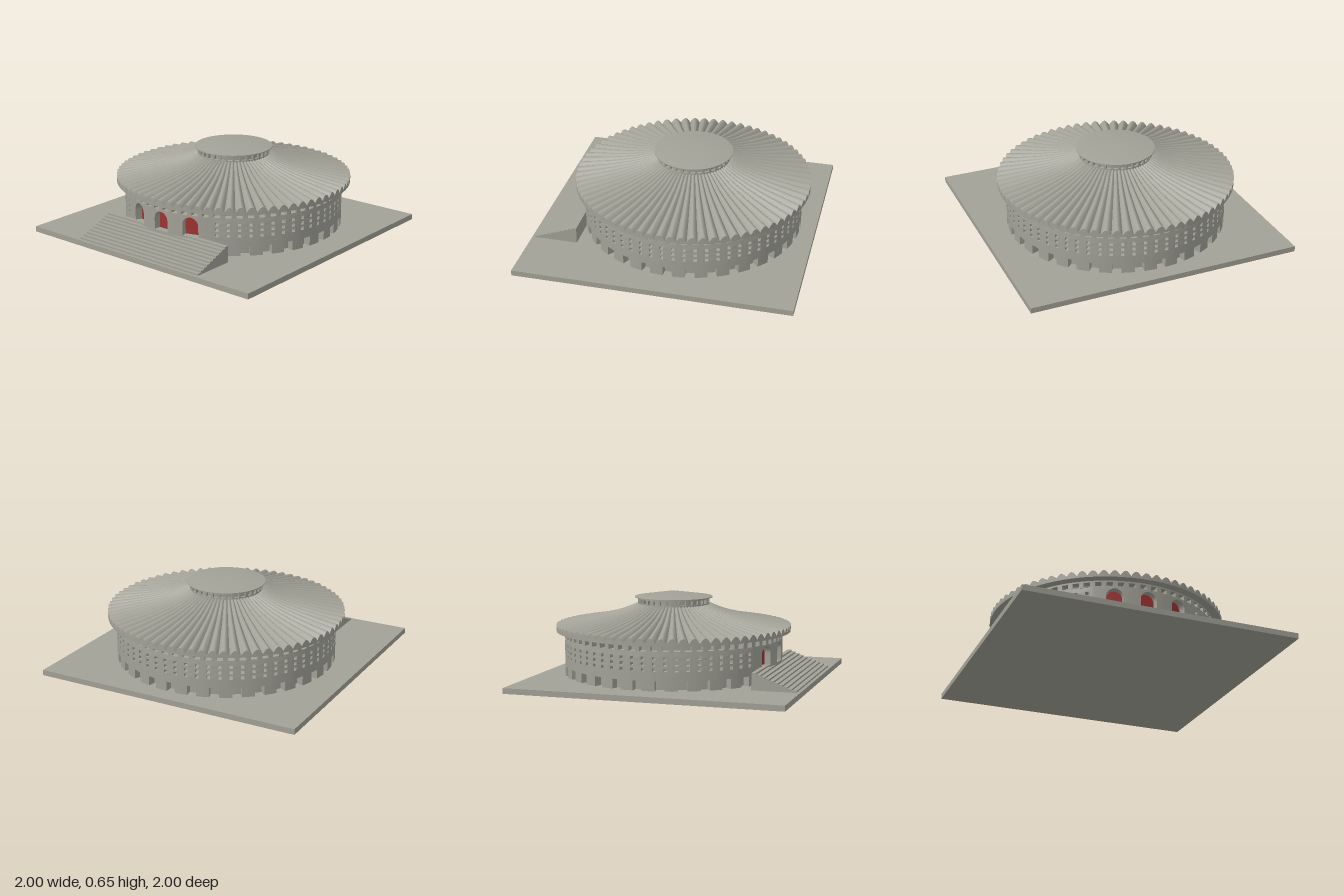
import * as THREE from 'three';
import { mergeGeometries, toCreasedNormals } from 'three/addons/utils/BufferGeometryUtils.js';

const stone = new THREE.MeshStandardMaterial({ color: 0xa1a197 });
stone.name = 'stone';
const red = new THREE.MeshStandardMaterial({ color: 0xa03232 });
red.name = 'door red';

const R = 0.805, WALL = 0.055, BASE = 0.04;
const BAY = Math.PI / 16;

// Rectangular hole centred on (x, y)
function rect(x, y, w, h) {
  return new THREE.Path([[-1, -1], [1, -1], [1, 1], [-1, 1]]
    .map(([i, j]) => new THREE.Vector2(x + i * w / 2, y + j * h / 2)));
}

// Round-headed opening, from y0 up to y1
function arch(Type, x, y0, y1, w) {
  const r = w / 2, p = new Type();
  p.moveTo(x - r, y0);
  p.lineTo(x + r, y0);
  p.lineTo(x + r, y1 - r);
  p.absarc(x, y1 - r, r, 0, Math.PI, false);
  p.closePath();
  return p;
}

// Extrudes a shape drawn on the unrolled wall and wraps it around the y axis
function wrap(shape, radius, depth, angle) {
  const g = new THREE.ExtrudeGeometry(shape, { depth, bevelEnabled: false, curveSegments: 8 });
  const p = g.attributes.position;
  for (let i = 0; i < p.count; i++) {
    const a = angle + p.getX(i) / radius, r = radius - depth + p.getZ(i);
    p.setXYZ(i, r * Math.sin(a), p.getY(i), r * Math.cos(a));
  }
  return g;
}

// Wall panel centred on an angle, with optional holes and a notch at its foot
function panel(radius, depth, angle, span, y0, y1, holes = [], notch = null) {
  const half = radius * span / 2, n = 4, pts = [];
  for (let i = 0; i <= n; i++) {
    pts.push(new THREE.Vector2(-half + 2 * half * i / n, y0));
    if (notch && i === 1) {
      const w = notch[0] / 2, h = y0 + notch[1];
      for (const [x, y] of [[-w, y0], [-w, h], [0, h], [w, h], [w, y0]]) pts.push(new THREE.Vector2(x, y));
      i = 2;
    }
  }
  for (let i = n; i >= 0; i--) pts.push(new THREE.Vector2(-half + 2 * half * i / n, y1));
  const shape = new THREE.Shape(pts);
  shape.holes.push(...holes);
  return wrap(shape, radius, depth, angle);
}

function lathe(points, segments) {
  return new THREE.LatheGeometry(points.map(([x, y]) => new THREE.Vector2(x, y)), segments);
}

export function createModel() {
  const model = new THREE.Group();
  const hall = new THREE.Group();
  hall.name = 'hall';
  hall.position.z = -0.08;
  model.add(hall);

  function add(parent, name, geometry, material = stone) {
    const mesh = new THREE.Mesh(geometry, material);
    mesh.name = name;
    parent.add(mesh);
    return mesh;
  }
  const smooth = (list) => toCreasedNormals(mergeGeometries(list), 0.6);

  // Ground slab
  add(model, 'groundSlab', new THREE.BoxGeometry(2, BASE, 2)).position.y = BASE / 2;

  // Front stairs, as one stepped block
  const steps = 10, z0 = 0.66, run = 0.0315, top = 0.16, rise = (top - BASE) / steps;
  const profile = new THREE.Shape();
  profile.moveTo(-z0, BASE);
  profile.lineTo(-z0, top);
  for (let i = 0; i < steps; i++) {
    profile.lineTo(-z0 - run * (i + 1), top - rise * i);
    profile.lineTo(-z0 - run * (i + 1), top - rise * (i + 1));
  }
  const stairs = new THREE.ExtrudeGeometry(profile, { depth: 1.11, bevelEnabled: false });
  stairs.translate(0, 0, -0.555).rotateY(Math.PI / 2);
  add(model, 'frontStairs', stairs);

  // Windowed bays with openings at the foot, all around except the front
  const bays = [];
  for (let k = 3; k <= 29; k++) {
    const holes = [];
    for (const s of [-1, 1])
      for (const y of [0.186, 0.226, 0.266]) holes.push(rect(s * R * BAY / 4, y, 0.024, 0.023));
    bays.push(panel(R, WALL, k * BAY, BAY, BASE, 0.31, holes, [0.066, 0.07]));
  }
  add(hall, 'windowWall', smooth(bays));

  // Plain front wall with three arched doorways
  const side = Math.asin(0.24 / R), edge = 2.5 * BAY, front = [], doors = [];
  for (const a of [-side, 0, side]) {
    front.push(panel(R, WALL, a, BAY, BASE, 0.31, [arch(THREE.Path, 0, 0.16, 0.3, 0.12)]));
    doors.push(wrap(arch(THREE.Shape, 0, 0.155, 0.304, 0.128), R - WALL + 0.006, 0.008, a));
  }
  for (const s of [-1, 1])
    for (const [a, b] of [[BAY / 2, side - BAY / 2], [side + BAY / 2, edge]])
      front.push(panel(R, WALL, s * (a + b) / 2, b - a, BASE, 0.31));
  add(hall, 'frontWall', smooth(front));
  add(hall, 'archedDoors', smooth(doors), red);

  // Row of openings under the eaves
  const frieze = [];
  for (let k = 0; k < 64; k++)
    frieze.push(panel(R, WALL, (k + 0.5) * BAY / 2, BAY / 2, 0.31, 0.362, [rect(0, 0.331, 0.046, 0.034)]));
  add(hall, 'eavesFrieze', smooth(frieze));

  // Inner wall behind the openings
  add(hall, 'innerWall', new THREE.CylinderGeometry(R - WALL, R - WALL, 0.33, 96, 1, true)).position.y = 0.205;

  // Fluted roof: a lathe whose upper rows are raised into rounded ribs
  const ribs = 72;
  const roof = lathe([[0.74, 0.36], [0.865, 0.36], [0.865, 0.374], [0.74, 0.399], [0.6, 0.43],
    [0.48, 0.462], [0.4, 0.488], [0.33, 0.518], [0.29, 0.537], [0.25, 0.55]], ribs * 8);
  const p = roof.attributes.position;
  for (let i = 0; i < p.count; i++) {
    if (p.getY(i) < 0.37) continue;
    const r = Math.hypot(p.getX(i), p.getZ(i)), a = Math.atan2(p.getX(i), p.getZ(i));
    p.setY(i, p.getY(i) + 0.042 * r * Math.abs(Math.sin(a * ribs / 2)));
  }
  add(hall, 'flutedRoof', toCreasedNormals(roof, 0.7));

  // Lantern with small openings, and its shallow cap
  const lantern = [];
  for (let k = 0; k < 32; k++)
    lantern.push(panel(0.265, 0.02, k * BAY, BAY, 0.53, 0.605, [rect(0, 0.578, 0.034, 0.03)]));
  add(hall, 'lanternWall', smooth(lantern));
  add(hall, 'lanternCore', new THREE.CylinderGeometry(0.246, 0.246, 0.08, 64, 1, true)).position.y = 0.565;
  add(hall, 'lanternCap', toCreasedNormals(
    lathe([[0, 0.602], [0.287, 0.602], [0.287, 0.608], [0, 0.65]], 96), 0.3));

  return model;
}
